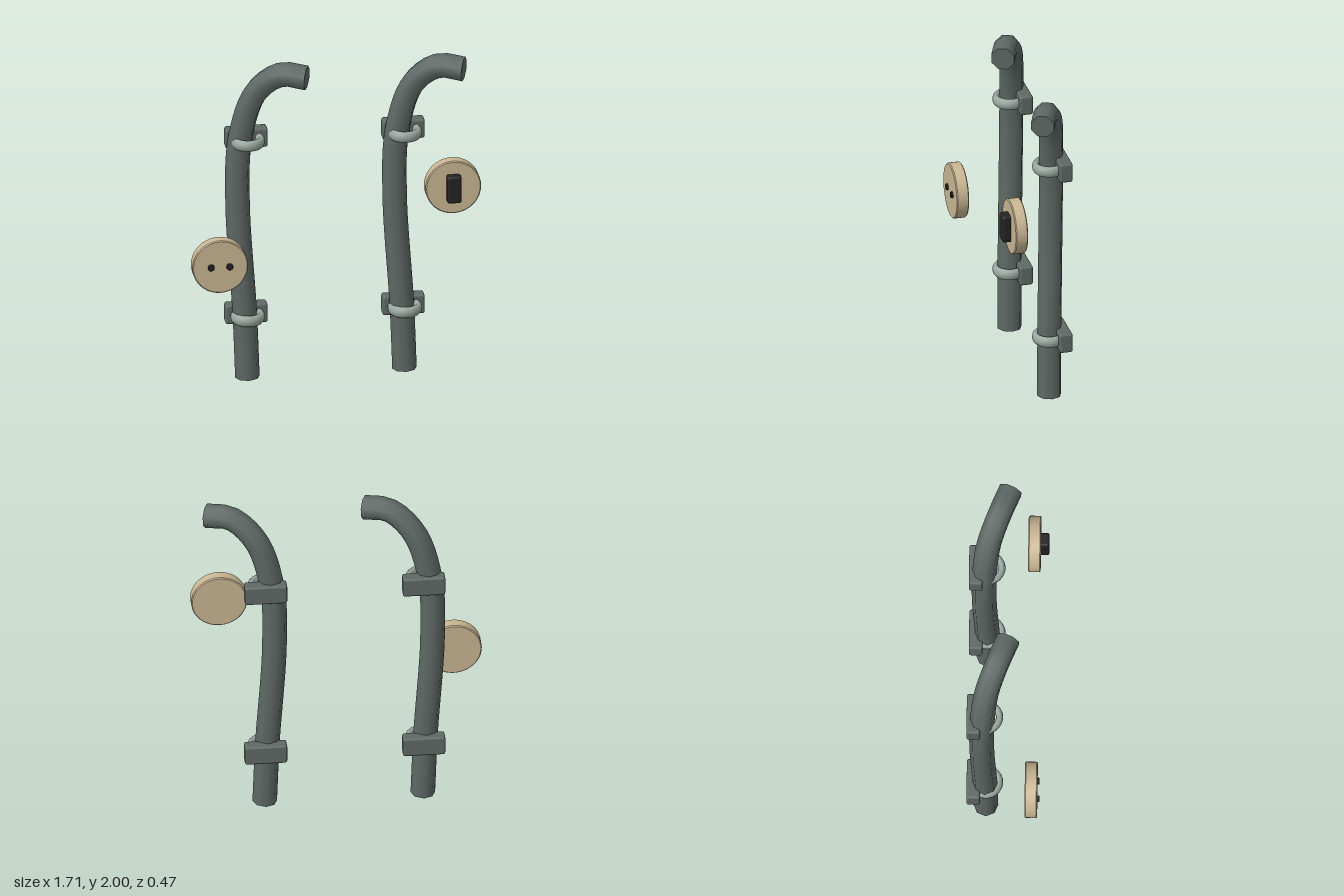
import * as THREE from 'three';
import { toCreasedNormals } from 'three/addons/utils/BufferGeometryUtils.js';
import { RoundedBoxGeometry } from 'three/addons/geometries/RoundedBoxGeometry.js';

const material = (name, color) => {
  const m = new THREE.MeshStandardMaterial({ color });
  m.name = name;
  return m;
};

function addMesh(parent, name, geometry, mat, x = 0, y = 0, z = 0) {
  const mesh = new THREE.Mesh(geometry, mat);
  mesh.name = name;
  mesh.position.set(x, y, z);
  parent.add(mesh);
  return mesh;
}

// Flat fan closing one end of a tube
function capGeometry(tube, ring, sides, flip) {
  const p = tube.attributes.position, pts = [], index = [];
  for (let j = 0; j < sides; j++) {
    const k = ring * (sides + 1) + j;
    pts.push(p.getX(k), p.getY(k), p.getZ(k));
    if (j > 1) index.push(0, flip ? j : j - 1, flip ? j - 1 : j);
  }
  const g = new THREE.BufferGeometry();
  g.setAttribute('position', new THREE.Float32BufferAttribute(pts, 3));
  g.setIndex(index);
  g.computeVertexNormals();
  return g;
}

// Round solid turned from a bevelled profile, facing +z
function discGeometry(radius, depth, bevel, segments) {
  const h = depth / 2;
  const profile = [
    [0, -h], [radius - bevel, -h], [radius, -h + bevel],
    [radius, h - bevel], [radius - bevel, h], [0, h],
  ].map(([x, y]) => new THREE.Vector2(x, y));
  return toCreasedNormals(new THREE.LatheGeometry(profile, segments).rotateX(Math.PI / 2), 0.6);
}

export function createModel() {
  const model = new THREE.Group();
  model.name = 'pipesAndWallFittings';
  const pipeGrey = material('pipe grey', 0x5f6966);
  const clampGrey = material('clamp grey', 0x9ba8a2);
  const tan = material('ceramic tan', 0xc9b693);
  const black = material('switch black', 0x232323);

  // Bent pipe path, relative to its foot
  const path = new THREE.CatmullRomCurve3([
    [0, 0, 0], [-0.015, 0.4, -0.005], [-0.055, 1.1, -0.023], [-0.04, 1.5, -0.022],
    [0.05, 1.8, 0.005], [0.19, 1.927, 0.068], [0.333, 1.92, 0.126],
  ].map(p => new THREE.Vector3(...p)));
  const steps = 40, sides = 8;
  const tube = new THREE.TubeGeometry(path, steps, 0.0725, sides, false);
  const footCap = capGeometry(tube, 0, sides, false);
  const endCap = capGeometry(tube, steps, sides, true);
  const bracket = new RoundedBoxGeometry(0.25, 0.12, 0.08, 2, 0.014);
  const ring = new THREE.TorusGeometry(0.08, 0.021, 10, 32).scale(1, 1, 1.6).rotateX(Math.PI / 2);

  // Two pipes, each with two wall brackets and clamps
  for (const [side, x] of [['right', -0.487], ['left', 0.444]]) {
    const pipe = new THREE.Group();
    pipe.name = side + 'Pipe';
    pipe.position.set(x, 0, -0.12);
    model.add(pipe);
    addMesh(pipe, 'pipe', tube, pipeGrey);
    addMesh(pipe, 'pipeFoot', footCap, pipeGrey);
    addMesh(pipe, 'pipeEnd', endCap, pipeGrey);
    for (const y of [0.38, 1.49]) {
      addMesh(pipe, 'bracket', bracket, pipeGrey, 0.002, y, -0.073);
      addMesh(pipe, 'clampRing', ring, clampGrey, 0.002, y, 0);
    }
  }

  // Wall socket with two holes
  const plate = discGeometry(0.165, 0.074, 0.006, 40);
  const socket = new THREE.Group();
  socket.name = 'socket';
  socket.position.set(-0.693, 0.828, 0.148);
  model.add(socket);
  addMesh(socket, 'socketPlate', plate, tan);
  const pin = discGeometry(0.02, 0.02, 0.003, 16);
  for (const x of [-0.055, 0.055]) addMesh(socket, 'socketHole', pin, black, x, 0, 0.039);

  // Wall switch with a raised rocker
  const wallSwitch = new THREE.Group();
  wallSwitch.name = 'lightSwitch';
  wallSwitch.position.set(0.688, 1.248, 0.148);
  model.add(wallSwitch);
  addMesh(wallSwitch, 'switchPlate', plate, tan);
  addMesh(wallSwitch, 'switchRocker', new RoundedBoxGeometry(0.086, 0.17, 0.06, 2, 0.015), black, 0, 0, 0.057);

  return model;
}
